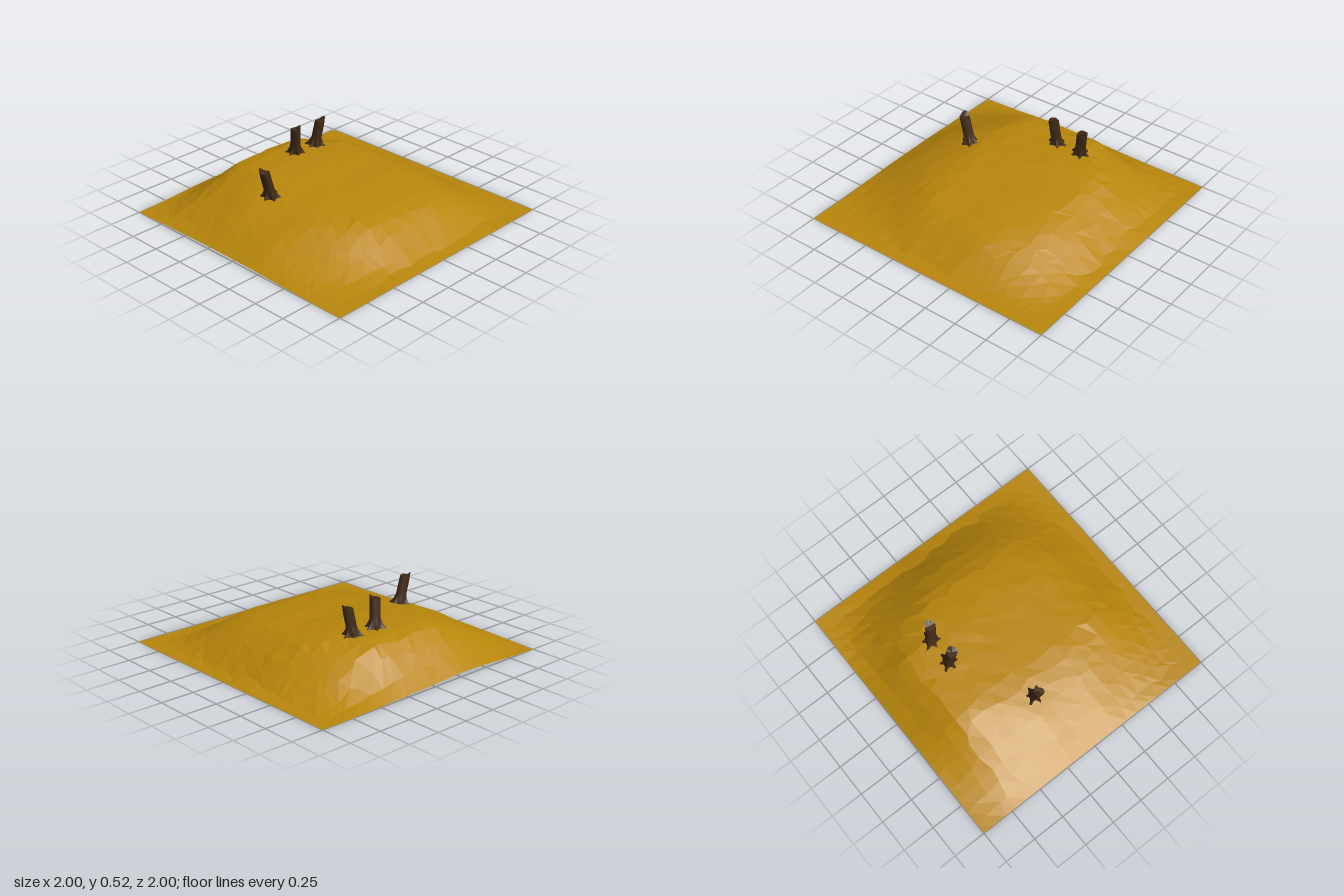
import * as THREE from 'three';

// Seeded random numbers
function makeRandom(seed) {
  return () => {
    seed = (seed * 1664525 + 1013904223) % 4294967296;
    return seed / 4294967296;
  };
}

// Hill profiles as [position, height]
const profileX = [[-1, 0.02], [-0.9, 0.075], [-0.8, 0.135], [-0.6, 0.22], [-0.45, 0.265], [-0.33, 0.288],
  [0, 0.29], [0.25, 0.287], [0.5, 0.262], [0.62, 0.215], [0.75, 0.14], [0.88, 0.035], [0.95, 0.003], [1, 0]];
const profileZ = [[-1, 0.012], [-0.9, 0.085], [-0.8, 0.185], [-0.7, 0.265], [-0.62, 0.284], [-0.4, 0.29],
  [-0.2, 0.285], [0, 0.265], [0.2, 0.253], [0.5, 0.215], [0.63, 0.18], [0.75, 0.11], [0.88, 0.02],
  [0.95, 0.003], [1, 0]];

function sample(points, t) {
  for (let i = 1; i < points.length; i++) {
    const [a, ya] = points[i - 1], [b, yb] = points[i];
    if (t <= b) return THREE.MathUtils.lerp(ya, yb, (t - a) / (b - a));
  }
  return points[points.length - 1][1];
}

// Both profiles combined, rounded off towards the corners, with a small rise on the back edge
function hillHeight(x, z) {
  const cornerDrop = z < 0 ? (x > 0 ? 1.6 : 0.9) : (x > 0 ? 1.0 : 1.6);
  const corner = Math.max(0, 1 - cornerDrop * Math.max(0, Math.abs(x * z) - 0.18));
  const backRise = 0.02 * Math.exp(-(((x + 0.35) / 0.35) ** 2)) * Math.max(0, -z * 4 - 3);
  return sample(profileX, x) * sample(profileZ, z) / 0.288 * corner + backRise;
}

// Faceted ground sheet: a plane with shifted points lifted into a hill
function createGround() {
  const n = 20, random = makeRandom(11);
  const geometry = new THREE.PlaneGeometry(2, 2, n, n).rotateX(-Math.PI / 2);
  const p = geometry.attributes.position;
  for (let i = 0; i < p.count; i++) {
    let x = p.getX(i), z = p.getZ(i);
    const dx = (random() - 0.5) * 0.06, dz = (random() - 0.5) * 0.06, bump = random() - 0.5;
    if (Math.abs(x) < 0.99) x += dx;
    if (Math.abs(z) < 0.99) z += dz;
    p.setXYZ(i, x, hillHeight(x, z) * (1 + bump * 0.02), z);
  }
  geometry.computeVertexNormals();
  const ground = new THREE.Mesh(geometry, new THREE.MeshStandardMaterial({
    color: 0xb8860b, flatShading: true, side: THREE.DoubleSide,
  }));
  ground.name = 'ground';
  return ground;
}

// Broken trunk with flared roots, a slanted top and one splinter
function createStump(x, z, height, leanX, leanZ, rootTurn, splinterTurn) {
  const roots = 6;
  const geometry = new THREE.CylinderGeometry(1, 1, 1, 36, 10).translate(0, 0.5, 0);
  const p = geometry.attributes.position;
  for (let i = 0; i < p.count; i++) {
    const t = p.getY(i), a = Math.atan2(p.getZ(i), p.getX(i));
    const rim = Math.hypot(p.getX(i), p.getZ(i));
    const root = (0.5 + 0.5 * Math.cos(roots * a + rootTurn)) ** 3;
    const flare = Math.max(0, 1 - t / 0.4) ** 2;
    const radius = rim * (0.037 + 0.003 * Math.cos(3 * a + rootTurn)
      + flare * (0.006 + root * (0.037 + 0.009 * Math.sin(2 * a + rootTurn))));
    const splinter = rim * 0.028 * Math.max(0, Math.cos(a - splinterTurn)) ** 2;
    const y = t * height + Math.max(0, t - 0.8) * 5 * splinter;
    p.setXYZ(i, radius * Math.cos(a) + leanX * t, y, radius * Math.sin(a) + leanZ * t);
  }
  geometry.computeVertexNormals();
  const stump = new THREE.Mesh(geometry, new THREE.MeshStandardMaterial({
    color: 0x402a15, side: THREE.DoubleSide,
  }));
  stump.position.set(x, hillHeight(x, z) - 0.004, z);
  stump.name = 'treeStump';
  return stump;
}

export function createModel() {
  const model = new THREE.Group();
  model.name = 'hillWithStumps';
  model.add(
    createGround(),
    createStump(-0.49, -0.15, 0.205, -0.055, -0.005, 0.4, 4.2),
    createStump(0.06, -0.475, 0.205, -0.02, 0.025, 0.6, 0.6),
    createStump(0.262, -0.475, 0.195, 0.03, 0.025, 0.2, 0.2),
  );
  return model;
}
